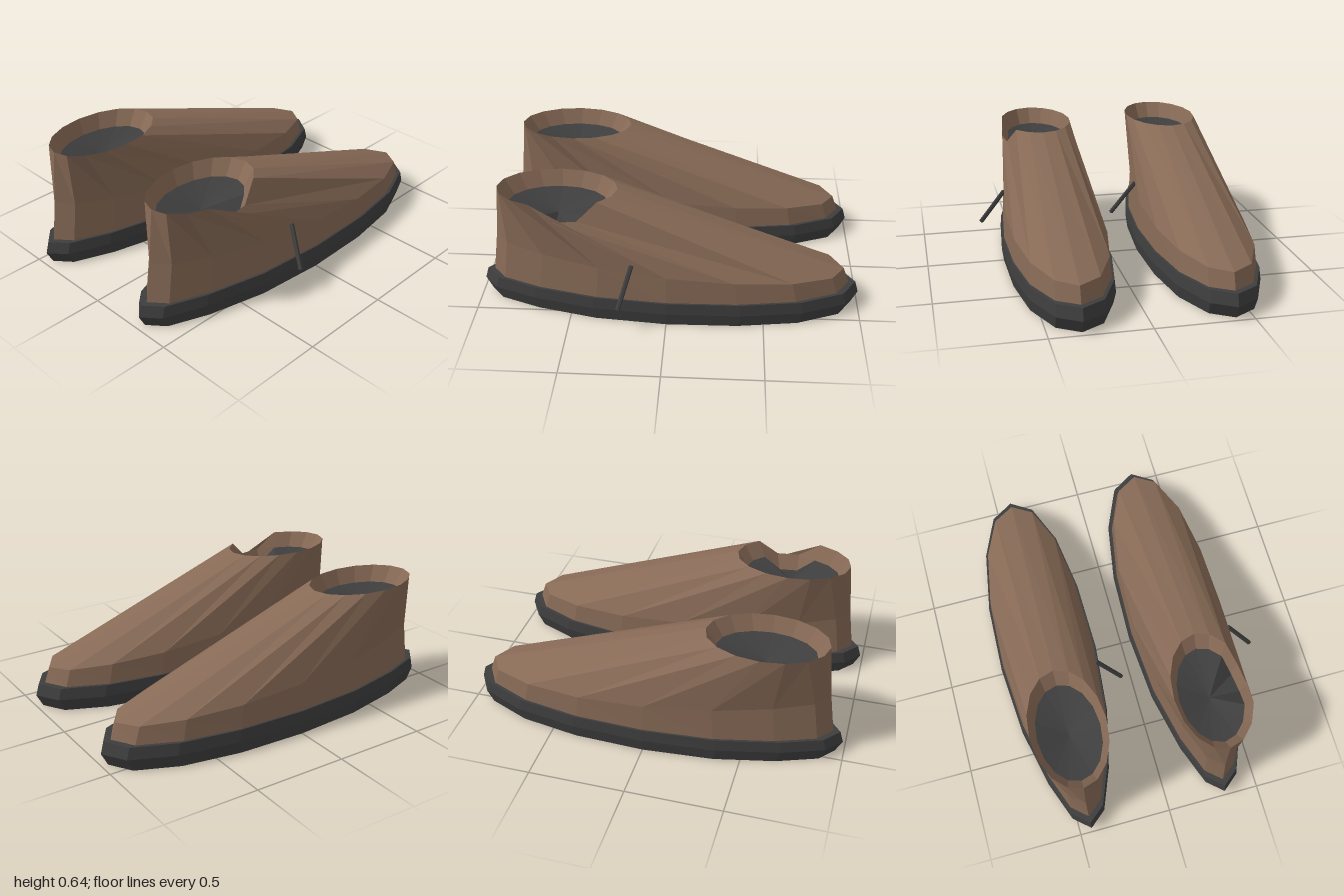
import * as THREE from 'three';

const N = 16; // sides of every loop

// Plan of the sole from toe (-z) to heel (+z): z, half width, sideways drift
const PLAN = [
  [-1, 0, 0.012], [-0.925, 0.12, 0.01], [-0.7, 0.215, 0.008],
  [-0.38, 0.265, 0.003], [0, 0.275, 0], [0.38, 0.243, -0.003],
  [0.7, 0.17, -0.006], [0.915, 0.088, -0.008], [0.99, 0, -0.01],
];

// Loop that follows the plan, scaled, with a height for each step along it
function planLoop(sx, sz, height) {
  return Array.from({ length: N }, (_, i) => {
    const k = i <= 8 ? i : N - i;
    const [z, hw, cx] = PLAN[k];
    return new THREE.Vector3(cx + (i <= 8 ? 1 : -1) * hw * sx, height(k), z * sz);
  });
}

// Elliptical loop for the ankle opening
function ringLoop(rx, rz, y) {
  return Array.from({ length: N }, (_, i) => {
    const a = (i / N) * Math.PI * 2;
    return new THREE.Vector3(-0.005 + rx * Math.sin(a), y, 0.57 - rz * Math.cos(a));
  });
}

const pointLoop = (x, y, z) => Array.from({ length: N }, () => new THREE.Vector3(x, y, z));

// Faceted skin through successive loops, bottom to top
function loft(loops) {
  const pos = [];
  const tri = (a, b, c) => {
    if (a.equals(b) || b.equals(c) || a.equals(c)) return;
    for (const p of [a, b, c]) pos.push(p.x, p.y, p.z);
  };
  for (let l = 0; l < loops.length - 1; l++) {
    const a = loops[l], b = loops[l + 1];
    for (let i = 0; i < N; i++) {
      const j = (i + 1) % N;
      tri(a[i], b[i], b[j]);
      tri(a[i], b[j], a[j]);
    }
  }
  const g = new THREE.BufferGeometry();
  g.setAttribute('position', new THREE.Float32BufferAttribute(pos, 3));
  g.computeVertexNormals();
  return g;
}

export function createModel() {
  const brown = new THREE.MeshStandardMaterial({ color: 0x876a56, flatShading: true });
  brown.name = 'brown leather';
  const dark = new THREE.MeshStandardMaterial({ color: 0x3e3e3e, flatShading: true });
  dark.name = 'dark rubber';

  const root = new THREE.Group();
  root.name = 'pairOfShoes';

  function shoe(name, x, notched) {
    const g = new THREE.Group();
    g.name = name;
    g.position.x = x;
    const add = (part, geo, mat) => {
      const m = new THREE.Mesh(geo, mat);
      m.name = part;
      g.add(m);
      return m;
    };

    // Sole with bevelled rim
    add('sole', loft([
      pointLoop(0, 0, 0),
      planLoop(0.965, 0.965, () => 0),
      planLoop(1, 1, () => 0.068),
      planLoop(0.98, 0.982, () => 0.13),
      pointLoop(0, 0.13, 0),
    ]), dark);

    // Ankle opening: outer rim and the narrower insole edge below it
    const collar = ringLoop(0.198, 0.31, 0.64);
    const insoleEdge = ringLoop(0.165, 0.255, 0.555);
    if (notched) {
      for (const i of [3, 4]) {
        collar[i].y -= 0.09;
        insoleEdge[i].y -= 0.09;
      }
    }

    // Upper: side wall, sloping vamp, collar and inner wall
    const ridge = [0.213, 0.22, 0.235, 0.25, 0.275, 0.305, 0.33, 0.345, 0.35];
    add('upper', loft([
      planLoop(0.945, 0.945, () => 0.13),
      planLoop(0.915, 0.915, (k) => ridge[k]),
      collar,
      insoleEdge,
    ]), brown);

    // Dished insole
    add('insole', loft([insoleEdge, pointLoop(-0.005, 0.495, 0.57)]), dark);

    // Loose lace on the outer side
    const from = new THREE.Vector3(0.237, 0.338, 0.175);
    const to = new THREE.Vector3(0.362, 0.15, 0.237);
    const dir = to.clone().sub(from);
    const lace = add('lace', new THREE.CylinderGeometry(0.012, 0.012, dir.length(), 6), dark);
    lace.position.copy(from).add(to).multiplyScalar(0.5);
    lace.quaternion.setFromUnitVectors(new THREE.Vector3(0, 1, 0), dir.normalize());

    root.add(g);
  }

  shoe('rightShoe', -0.425, false);
  shoe('leftShoe', 0.323, true);
  return root;
}
